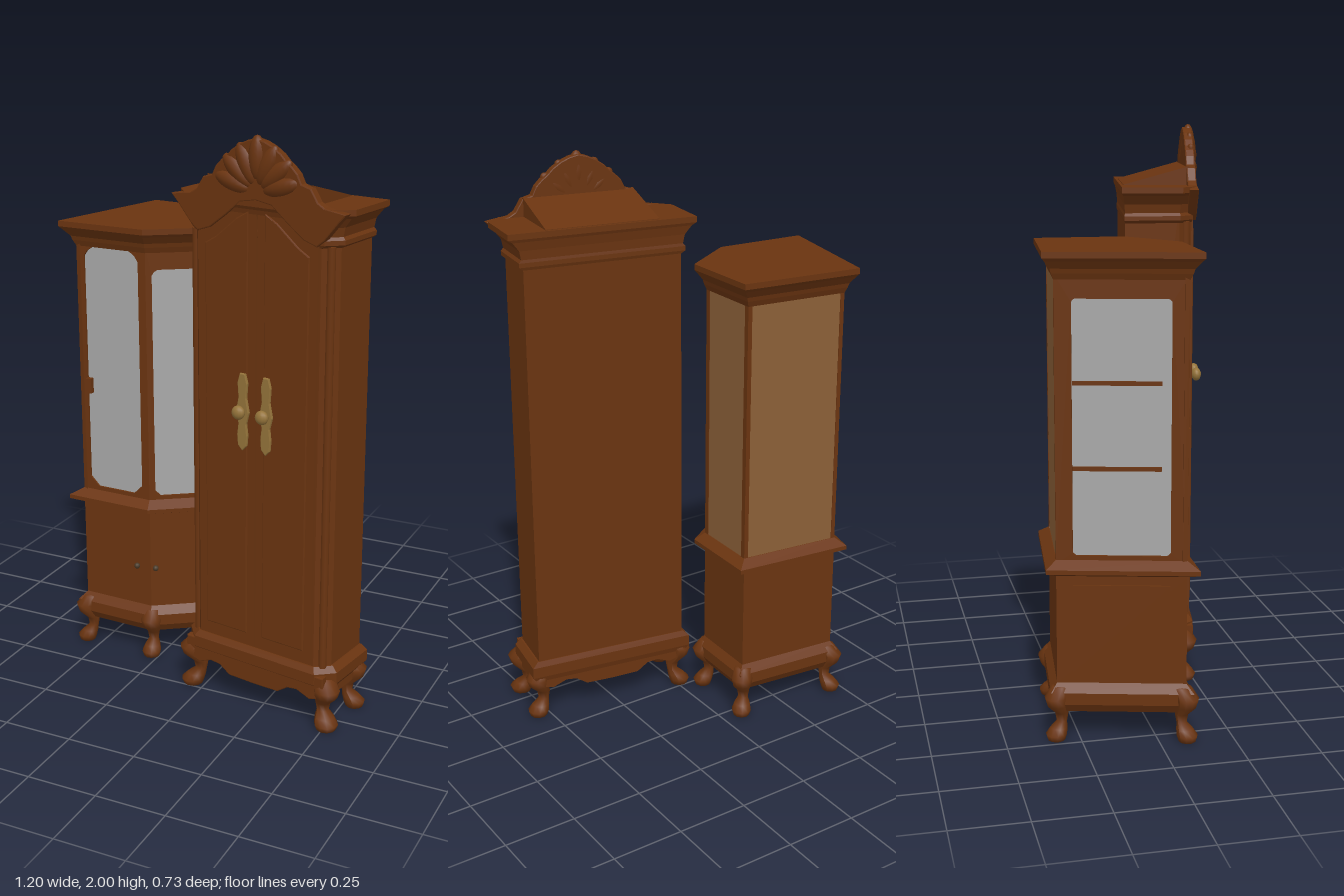
import * as THREE from 'three';

const mat = (name, color, side = THREE.FrontSide) => {
  const m = new THREE.MeshStandardMaterial({ color, side });
  m.name = name;
  return m;
};

// Moves polygon corners [x, z] outward; each edge may have its own weight.
function offsetPoly(poly, off, weights) {
  const n = poly.length;
  const normal = i => {
    const [a, b] = [poly[i], poly[(i + 1) % n]];
    const l = Math.hypot(b[0] - a[0], b[1] - a[1]);
    return [-(b[1] - a[1]) / l, (b[0] - a[0]) / l];
  };
  return poly.map((p, i) => {
    const k = (i + n - 1) % n, n1 = normal(k), n2 = normal(i);
    const o1 = off * (weights ? weights[k] : 1), o2 = off * (weights ? weights[i] : 1);
    const det = n1[0] * n2[1] - n1[1] * n2[0];
    return [p[0] + (o1 * n2[1] - o2 * n1[1]) / det, p[1] + (n1[0] * o2 - n2[0] * o1) / det];
  });
}

// Stacks offset copies of a plan polygon; profile is a list of [y, offset].
function loft(poly, profile, weights) {
  const rings = profile.map(([y, o]) => offsetPoly(poly, o, weights).map(p => [p[0], y, p[1]]));
  const v = [], n = poly.length, tri = (...c) => c.forEach(p => v.push(...p));
  for (let k = 0; k + 1 < rings.length; k++) {
    for (let i = 0; i < n; i++) {
      const j = (i + 1) % n, A = rings[k], B = rings[k + 1];
      tri(A[i], A[j], B[j]);
      tri(A[i], B[j], B[i]);
    }
  }
  const bottom = rings[0], top = rings[rings.length - 1];
  for (let i = 1; i + 1 < n; i++) {
    tri(top[0], top[i], top[i + 1]);
    tri(bottom[0], bottom[i + 1], bottom[i]);
  }
  const g = new THREE.BufferGeometry();
  g.setAttribute('position', new THREE.Float32BufferAttribute(v, 3));
  g.computeVertexNormals();
  return g;
}

function add(parent, name, geo, material, x = 0, y = 0, z = 0) {
  const m = new THREE.Mesh(geo, material);
  m.name = name;
  m.position.set(x, y, z);
  parent.add(m);
  return m;
}

const box = (w, h, d) => new THREE.BoxGeometry(w, h, d);
const shapeOf = pts => new THREE.Shape(pts.map(p => new THREE.Vector2(...p)));
const slab = (shape, depth, bevel = 0) => new THREE.ExtrudeGeometry(shape, {
  depth, bevelEnabled: bevel > 0, bevelSize: bevel, bevelThickness: bevel, bevelSegments: 2, curveSegments: 10 });
const mirrored = half => [...half, ...half.filter(p => p[0] !== 0).reverse().map(([x, y]) => [-x, y])];

// Curved leg whose knee and foot swing towards its local +x.
function legGeometry(s) {
  const profile = [[0, 0], [0.034, 0], [0.042, 0.02], [0.034, 0.04], [0.021, 0.06],
    [0.027, 0.09], [0.04, 0.12], [0.046, 0.15], [0.036, 0.185], [0, 0.195]];
  const g = new THREE.LatheGeometry(profile.map(p => new THREE.Vector2(p[0] * s, p[1])), 10);
  const p = g.attributes.position;
  for (let i = 0; i < p.count; i++) {
    const y = p.getY(i);
    p.setX(i, p.getX(i) + s * 0.018 * Math.cos((y - 0.01) / 0.13 * Math.PI * 2) - 0.008);
  }
  g.computeVertexNormals();
  return g;
}

function addLeg(parent, x, z, angle, s) {
  add(parent, 'leg', legGeometry(s), parent.userData.wood, x, 0, z).rotation.y = angle;
}

function cornerCabinet(M) {
  const g = new THREE.Group();
  g.name = 'cornerDisplayCabinet';
  g.userData.wood = M.wood;
  const plan = [[-0.56, 0.09], [-0.28, 0.1], [-0.09, -0.03], [-0.08, -0.285], [-0.455, -0.325]];

  add(g, 'lowerBody', loft(plan, [[0.1, 0.004], [0.13, 0.022], [0.17, 0.022], [0.2, 0], [0.57, 0],
    [0.585, 0.035], [0.6, 0.035], [0.625, 0]]), M.wood);
  add(g, 'upperBody', loft(plan, [[0.61, -0.014], [1.58, -0.014]]), M.wood);
  add(g, 'cornice', loft(plan, [[1.54, 0], [1.56, 0.008], [1.575, 0.012], [1.6, 0.03], [1.61, 0.038], [1.63, 0.038]]), M.wood);
  plan.forEach(([x, z]) => addLeg(g, x, z, Math.atan2(z + 0.09, -(x + 0.3)) + Math.PI, 0.85));
  plan.forEach(([x, z], i) => {
    g.children[g.children.length - plan.length + i].rotation.y = -Math.atan2(z + 0.09, x + 0.3);
  });

  // One framed panel on each side: name, side margin, bottom, top, corner cut, material
  const sides = [['frontWindow', 0.03, 0.64, 1.54, 0.035, M.glass], ['cantedWindow', 0.022, 0.64, 1.48, 0.02, M.glass],
    ['rightWall', 0.02, 0.625, 1.545, 0.004, M.tan], ['backWall', 0.015, 0.625, 1.545, 0.004, M.tan],
    ['leftWindow', 0.055, 0.64, 1.48, 0.01, M.glass]];
  sides.forEach(([name, m, y0, y1, c, material], i) => {
    const a = plan[i], b = plan[(i + 1) % plan.length];
    const dx = b[0] - a[0], dz = b[1] - a[1], w = Math.hypot(dx, dz), h = w / 2 - m;
    const face = new THREE.Group();
    face.name = name + 'Side';
    face.position.set((a[0] + b[0]) / 2, 0, (a[1] + b[1]) / 2);
    face.rotation.y = Math.atan2(-dz, dx);
    g.add(face);
    const frame = shapeOf([[-w / 2, 0.61], [w / 2, 0.61], [w / 2, 1.56], [-w / 2, 1.56]]);
    frame.holes.push(shapeOf([[-h + c, y0], [-h, y0 + c], [-h, y1 - c], [-h + c * 0.4, y1 - c * 0.4], [-h + c, y1],
      [h - c, y1], [h - c * 0.4, y1 - c * 0.4], [h, y1 - c], [h, y0 + c], [h - c, y0]]));
    add(face, 'frame', slab(frame, 0.016), M.wood, 0, 0, -0.016);
    add(face, name, box(h * 2, y1 - y0, 0.008), material, 0, (y0 + y1) / 2, material === M.tan ? -0.006 : -0.011);
    if (name === 'leftWindow') {
      for (const y of [0.93, 1.21]) add(face, 'shelf', box(h * 1.8, 0.014, 0.008), M.wood, -0.015, y, -0.006);
      add(face, 'lowerPanel', box(h * 2, 0.3, 0.008), M.wood, 0, 0.39, 0.002);
    }
    if (name === 'frontWindow') add(face, 'doorCatch', box(0.022, 0.055, 0.016), M.wood, -0.098, 1.03, 0.006);
  });
  for (const [x, z] of [[-0.335, 0.104], [-0.262, 0.095]])
    add(g, 'smallKnob', new THREE.SphereGeometry(0.011, 10, 8), M.metal, x, 0.355, z);
  return g;
}

function wardrobe(M) {
  const g = new THREE.Group();
  g.name = 'wardrobe';
  g.userData.wood = M.wood;
  g.position.set(0.2475, 0, 0.1675);
  g.rotation.y = -0.167;
  const plan = [[-0.235, 0.115], [0.235, 0.115], [0.28, 0.07], [0.28, -0.1175], [-0.28, -0.1175], [-0.28, 0.07]];
  const weights = [0.3, 0.8, 1, 0.25, 1, 0.8];

  add(g, 'body', loft(plan, [[0.2, 0], [1.74, 0]]), M.wood);
  add(g, 'base', loft(plan, [[0.15, 0.012], [0.17, 0.026], [0.21, 0.026], [0.23, 0.006]], [0.7, 0.9, 1, 0.4, 1, 0.9]), M.wood);
  add(g, 'cornice', loft(plan, [[1.67, 0], [1.68, 0.014], [1.695, 0.014], [1.705, 0.006], [1.735, 0.012],
    [1.765, 0.035], [1.775, 0.052], [1.795, 0.052]], weights), M.wood);

  // Scalloped aprons between the legs
  const apron = shapeOf(mirrored([[0.28, 0.2], [0.28, 0.13], [0.23, 0.115], [0.18, 0.135], [0.14, 0.13], [0.1, 0.102], [0, 0.1]]));
  add(g, 'frontApron', slab(apron, 0.018, 0.004), M.wood, 0, 0, 0.11);
  add(g, 'backApron', slab(apron, 0.012), M.wood, 0, 0, -0.122);
  for (const s of [-1, 1]) {
    add(g, 'sideApron', box(0.016, 0.07, 0.19), M.wood, s * 0.282, 0.155, -0.01);
    addLeg(g, s * 0.275, 0.095, s > 0 ? -0.6 : Math.PI + 0.6, 1);
    addLeg(g, s * 0.275, -0.09, s > 0 ? 0.4 : Math.PI - 0.4, 0.9);

    // Arched door leaf with a raised panel
    const leaf = (x0, x1, y0, drop) => {
      const curve = [0, 0.25, 0.5, 0.75, 1].map(t => {
        const x = x0 + (x1 - x0) * t;
        return [s * x, 1.81 - drop - 0.13 * (1 - Math.cos(x / 0.23 * Math.PI)) / 2];
      });
      return shapeOf([[s * x1, y0], [s * x0, y0], ...curve]);
    };
    add(g, 'door', slab(leaf(0.002, 0.228, 0.235, 0), 0.01), M.wood, 0, 0, 0.112);
    add(g, 'doorPanel', slab(leaf(0.035, 0.195, 0.285, 0.05), 0.002, 0.004), M.wood, 0, 0, 0.121);
    add(g, 'cornerPillar', new THREE.CylinderGeometry(0.014, 0.014, 1.45, 10), M.wood, s * 0.258, 0.95, 0.093);

    // Brass handle
    const plate = shapeOf([[0, 0.96], [0.014, 0.975], [0.017, 1.01], [0.012, 1.05], [0.022, 1.09], [0.012, 1.14],
      [0.016, 1.19], [0.008, 1.22], [-0.008, 1.22], [-0.016, 1.19], [-0.012, 1.14], [-0.022, 1.09],
      [-0.012, 1.05], [-0.017, 1.01], [-0.014, 0.975]]);
    add(g, 'handlePlate', slab(plate, 0.006, 0.003), M.brass, s * 0.046, 0, 0.127);
    add(g, 'handleStem', new THREE.CylinderGeometry(0.01, 0.012, 0.03, 10).rotateX(Math.PI / 2), M.brass, s * 0.046, 1.095, 0.14);
    add(g, 'handleKnob', new THREE.SphereGeometry(0.024, 12, 10).scale(1, 1, 0.75), M.brass, s * 0.046, 1.095, 0.157);
  }

  // Scalloped pediment
  const crest = shapeOf(mirrored([[0, 1.8], [0.06, 1.79], [0.12, 1.74], [0.18, 1.695], [0.225, 1.68], [0.25, 1.7],
    [0.3, 1.76], [0.325, 1.785], [0.25, 1.795], [0.225, 1.81], [0.2, 1.85], [0.165, 1.86], [0.15, 1.89],
    [0.13, 1.91], [0.11, 1.925], [0.09, 1.945], [0.06, 1.965], [0.03, 1.978], [0, 1.985]]));
  add(g, 'pediment', slab(crest, 0.024, 0.004), M.wood, 0, 0, 0.104);
  for (let i = -3; i <= 3; i++) {
    const a = i * 0.43, r = i === 0 ? 0.18 : 0.167;
    const lobe = add(g, 'shellLobe', new THREE.SphereGeometry(1, 12, 10).scale(0.03, 0.072, 0.024), M.wood,
      Math.sin(a) * (r - 0.072), 1.82 + Math.cos(a) * (r - 0.072), 0.122);
    lobe.rotation.z = -a;
  }

  // Roof falling from the pediment to the back
  const roof = new THREE.Shape([[0.11, 1.78], [0.11, 1.86], [-0.12, 1.797], [-0.12, 1.78]].map(p => new THREE.Vector2(-p[0], p[1])));
  add(g, 'roof', slab(roof, 0.4).rotateY(Math.PI / 2), M.wood, -0.2, 0, 0);
  return g;
}

export function createModel() {
  const M = {
    wood: mat('wood', 0x6a3410),
    glass: mat('greyGlass', 0xa8a8a8),
    tan: mat('tanWall', 0x8c6038),
    brass: mat('brass', 0x94733a),
    metal: mat('darkMetal', 0x4a3a28)
  };
  const model = new THREE.Group();
  model.name = 'cabinetPair';
  model.add(cornerCabinet(M), wardrobe(M));
  model.traverse(o => { o.userData = {}; });
  return model;
}
